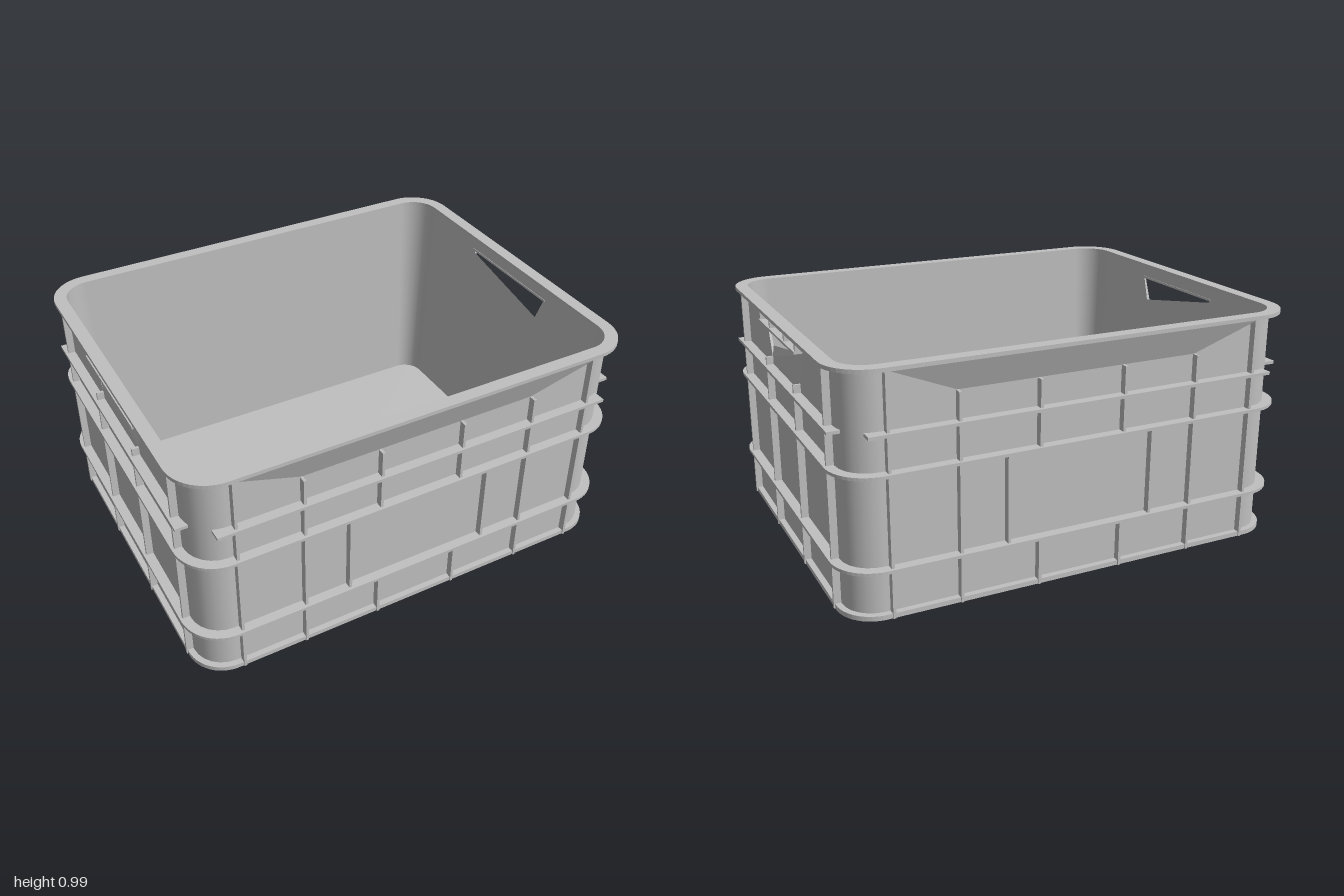
import * as THREE from 'three';

const CX = 0.825, CZ = 0.625;      // centres of the rounded corners
const WX = 0.955, WZ = 0.755;      // outer wall faces
const TOP = 0.98;

// rounded rectangle around the corner centres
function outline(r, PathType) {
  const p = new PathType();
  p.moveTo(CX + r, -CZ);
  p.absarc(CX, CZ, r, 0, Math.PI / 2);
  p.absarc(-CX, CZ, r, Math.PI / 2, Math.PI);
  p.absarc(-CX, -CZ, r, Math.PI, Math.PI * 1.5);
  p.absarc(CX, -CZ, r, Math.PI * 1.5, Math.PI * 2);
  return p;
}

// horizontal plate or hoop
function slab(rOut, rIn, y, h) {
  const s = outline(rOut, THREE.Shape);
  if (rIn) s.holes.push(outline(rIn, THREE.Path));
  const g = new THREE.ExtrudeGeometry(s, { depth: h, bevelEnabled: false, curveSegments: 6 });
  return g.rotateX(-Math.PI / 2).translate(0, y, 0);
}

// one long wall with its two rounded corners
function wallStrip(inner) {
  const pos = [], nor = [], idx = [], n = 6;
  for (let k = 0; k < 2; k++) for (let i = 0; i <= n; i++) {
    const t = (k + i / n) * Math.PI / 2, c = Math.cos(t), s = Math.sin(t);
    for (const y of [inner ? 0.02 : 0, TOP]) {
      const rx = inner ? 0.085 + 0.04 * y : 0.13, rz = inner ? 0.085 + 0.03 * y : 0.13;
      pos.push((k ? -CX : CX) + rx * c, y, CZ + rz * s);
      nor.push(inner ? -c : c, 0, inner ? -s : s);
    }
  }
  for (let i = 0; i < 2 * n + 1; i++) {
    const a = 2 * i, b = a + 2;
    if (inner) idx.push(a, b, b + 1, a, b + 1, a + 1);
    else idx.push(b, a, a + 1, b, a + 1, b + 1);
  }
  const g = new THREE.BufferGeometry();
  g.setAttribute('position', new THREE.Float32BufferAttribute(pos, 3));
  g.setAttribute('normal', new THREE.Float32BufferAttribute(nor, 3));
  g.setIndex(idx);
  return g;
}

// flat-faced geometry from four-cornered faces
function faces(quads) {
  const pos = [];
  for (const [a, b, c, d] of quads) pos.push(...a, ...b, ...c, ...a, ...c, ...d);
  const g = new THREE.BufferGeometry();
  g.setAttribute('position', new THREE.Float32BufferAttribute(pos, 3));
  g.computeVertexNormals();
  return g;
}

// hand hole corners as (-z, y)
const HOLE_OUT = [[-0.27, 0.93], [-0.21, 0.78], [0.21, 0.78], [0.27, 0.93]];
const HOLE_IN = [[-0.27, 0.93], [-0.23, 0.82], [0.27, 0.915], [0.27, 0.93]];
const innerX = y => 0.91 + 0.04 * y;

// short wall panel with the hand hole, facing +x outside or -x inside
function endPanel(inner) {
  const s = new THREE.Shape([[-CZ, 0], [CZ, 0], [CZ, TOP], [-CZ, TOP]].map(p => new THREE.Vector2(...p)));
  s.holes.push(new THREE.Path((inner ? HOLE_IN : HOLE_OUT).map(p => new THREE.Vector2(...p))));
  const g = new THREE.ShapeGeometry(s).rotateY(Math.PI / 2);
  const p = g.attributes.position;
  for (let i = 0; i < p.count; i++) p.setX(i, inner ? innerX(p.getY(i)) : WX);
  if (inner) g.index.array.reverse();
  g.computeVertexNormals();
  return g;
}

export function createModel() {
  const crate = new THREE.Group();
  crate.name = 'crate';
  const grey = new THREE.MeshStandardMaterial({ color: 0xc0c0c0, side: THREE.DoubleSide });
  grey.name = 'grey plastic';

  const add = (parent, name, geo) => {
    const m = new THREE.Mesh(geo, grey);
    m.name = name;
    parent.add(m);
    return m;
  };
  const box = (parent, name, x0, x1, y0, y1, z0, z1) =>
    add(parent, name, new THREE.BoxGeometry(x1 - x0, y1 - y0, z1 - z0)
      .translate((x0 + x1) / 2, (y0 + y1) / 2, (z0 + z1) / 2));

  // floor, hoops around the body and top rim
  add(crate, 'floor', slab(0.155, 0, 0, 0.02));
  add(crate, 'lowerHoop', slab(0.172, 0.12, 0.197, 0.013));
  add(crate, 'middleHoop', slab(0.172, 0.125, 0.577, 0.013));
  add(crate, 'rim', slab(0.175, 0.12, 0.978, 0.016));

  // long sides, front and back
  for (const turn of [0, Math.PI]) {
    const side = new THREE.Group();
    side.name = turn ? 'backSide' : 'frontSide';
    side.rotation.y = turn;
    crate.add(side);
    add(side, 'outerWall', wallStrip(false));
    add(side, 'innerWall', wallStrip(true));
    box(side, 'upperRib', -0.88, 0.88, 0.733, 0.746, WZ - 0.01, 0.797);

    const rib = (x, y0, y1) => box(side, 'uprightRib', x - 0.006, x + 0.006, y0, y1, WZ - 0.005, 0.785);
    for (const s of [-1, 1]) {
      rib(s * 0.8, 0, TOP);
      rib(s * 0.52, 0, 0.86);
      rib(s * 0.185, 0, 0.2);
      rib(s * 0.185, 0.58, 0.86);
      rib(s * 0.32, 0.2, 0.58);       // edges of the label panel
    }

    // sloped overhang under the rim
    const a = [-0.52, 0.86, WZ], b = [0.52, 0.86, WZ];
    const c = [0.8, 0.982, 0.8], d = [-0.8, 0.982, 0.8];
    const e = [0.8, 0.982, WZ], f = [-0.8, 0.982, WZ];
    add(side, 'rimOverhang', faces([[a, b, c, d], [b, e, c, c], [a, d, f, f]]));
  }

  // short sides with hand holes
  for (const s of [1, -1]) {
    const end = new THREE.Group();
    end.name = s > 0 ? 'leftEnd' : 'rightEnd';
    end.scale.x = s;
    crate.add(end);
    add(end, 'outerWall', endPanel(false));
    add(end, 'innerWall', endPanel(true));

    // edge joining the outer and inner hand hole
    const o = HOLE_OUT.map(([u, y]) => [WX, y, -u]);
    const i = HOLE_IN.map(([u, y]) => [innerX(y), y, -u]);
    add(end, 'handHoleEdge', faces(o.map((p, k) => {
      const n = (k + 1) % 4;
      return [p, o[n], i[n], i[k]];
    })));

    box(end, 'upperRib', WX - 0.01, 0.997, 0.733, 0.746, -0.68, 0.68);
    box(end, 'handleLedge', WX - 0.01, 0.99, 0.922, 0.932, -0.275, 0.275);
    const rib = (z, y0, y1) => box(end, 'uprightRib', WX - 0.005, 0.985, y0, y1, z - 0.006, z + 0.006);
    for (const m of [-1, 1]) {
      rib(m * 0.61, 0, TOP);
      rib(m * 0.21, 0, 0.78);
      rib(m * 0.11, 0.93, TOP);
      rib(m * 0.27, 0.93, TOP);
    }
  }
  return crate;
}
